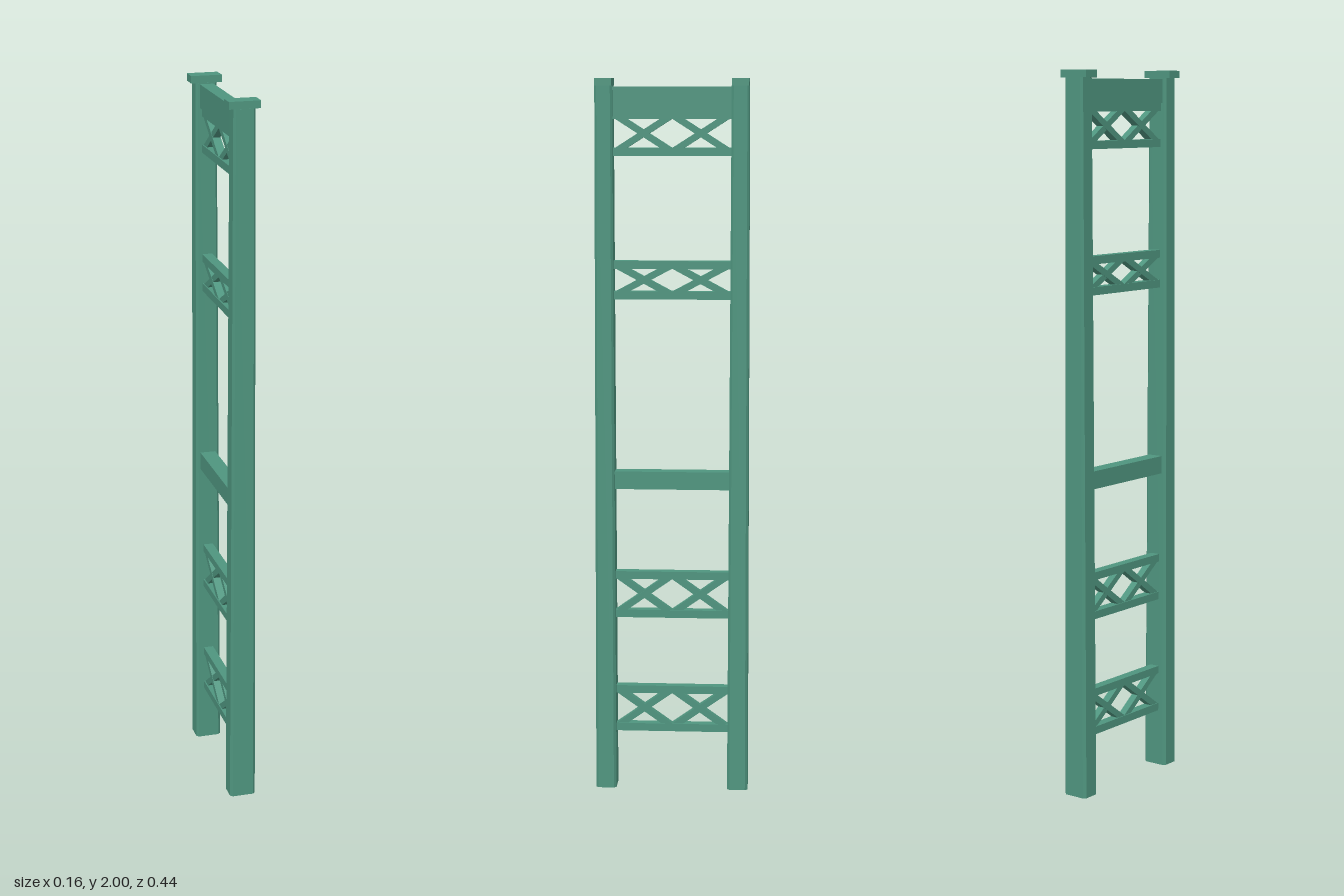
import * as THREE from 'three';

export function createModel() {
  const model = new THREE.Group();
  model.name = 'bridgeTower';
  const material = new THREE.MeshStandardMaterial({ color: 0x4f957f, flatShading: true });

  const add = (parent, geometry, name, x = 0, y = 0, z = 0) => {
    const mesh = new THREE.Mesh(geometry, material);
    mesh.name = name;
    mesh.position.set(x, y, z);
    parent.add(mesh);
    return mesh;
  };
  const box = (parent, name, w, h, d, x, y, z) =>
    add(parent, new THREE.BoxGeometry(w, h, d), name, x, y, z);

  // Tapered leg with chamfered corners
  const legHeight = 1.98;
  function legGeometry() {
    const w = 0.037, d = 0.029, c = 0.007;
    const outline = [
      [w, -d + c], [w, d - c], [w - c, d], [-w + c, d],
      [-w, d - c], [-w, -d + c], [-w + c, -d], [w - c, -d],
    ].map(([x, z]) => new THREE.Vector2(x, z));
    const geometry = new THREE.ExtrudeGeometry(new THREE.Shape(outline), {
      depth: legHeight, bevelEnabled: false,
    }).rotateX(-Math.PI / 2);
    const p = geometry.attributes.position;
    for (let i = 0; i < p.count; i++) {
      const t = p.getY(i) / legHeight;
      p.setX(i, p.getX(i) * (1 - 0.2 * t));
      p.setZ(i, p.getZ(i) * (1 - 0.16 * t));
    }
    geometry.computeVertexNormals();
    return geometry;
  }

  // Legs with flat caps
  const legOffset = 0.187;
  for (const [side, label] of [[1, 'front'], [-1, 'back']]) {
    add(model, legGeometry(), label + 'Leg', 0, 0, side * legOffset);
    box(model, label + 'Cap', 0.086, 0.02, 0.047, 0, 1.99, side * legOffset);
  }

  // Solid cross beams
  const span = 0.33;
  box(model, 'topBeam', 0.038, 0.065, span, 0, 1.9445, 0);
  box(model, 'roadBeam', 0.044, 0.05, span, 0, 0.89, 0);

  // Trusses: two chords with a pair of crossed braces between them
  function truss(name, bottom, top) {
    const group = new THREE.Group();
    group.name = name;
    const chord = 0.022, width = 0.028, half = 0.157;
    const mid = (bottom + top) / 2;
    box(group, 'lowerChord', width, chord, span, 0, bottom + chord / 2, 0);
    box(group, 'upperChord', width, chord, span, 0, top - chord / 2, 0);
    const rise = top - bottom - chord;
    const length = Math.hypot(half, rise);
    for (const side of [1, -1]) {
      for (const slope of [1, -1]) {
        const brace = box(group, 'brace', width - 0.006 + slope * 0.001, 0.018, length, 0, mid, side * half / 2);
        brace.rotation.x = slope * Math.atan2(rise, half);
      }
    }
    model.add(group);
  }
  truss('topTruss', 1.79, 1.912);
  truss('upperTruss', 1.397, 1.503);
  truss('middleTruss', 0.495, 0.628);
  truss('lowerTruss', 0.163, 0.296);

  // The tower stands slightly turned about its vertical axis
  model.rotation.y = -THREE.MathUtils.degToRad(10.2);
  const root = new THREE.Group();
  root.name = 'tower';
  root.add(model);
  return root;
}
